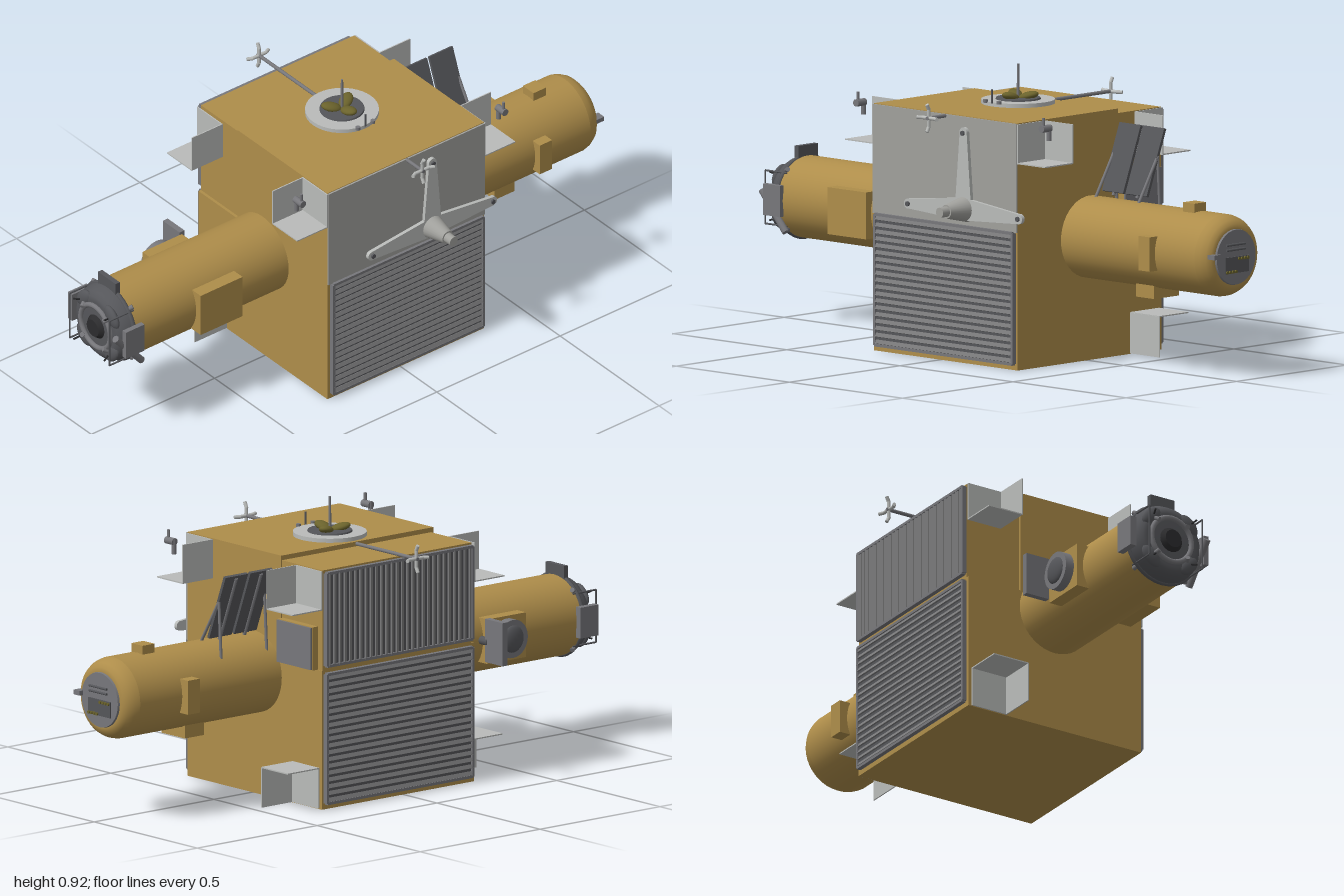
import * as THREE from 'three';

const mat = (name, color, side = THREE.FrontSide) => {
  const m = new THREE.MeshStandardMaterial({ color, side });
  m.name = name;
  return m;
};

export function createModel() {
  const root = new THREE.Group();
  root.name = 'spaceModule';
  const gold = mat('gold foil', 0xae8d4a);
  const light = mat('light grey', 0xb9bbb9, THREE.DoubleSide);
  const grey = mat('panel grey', 0xa0a09c);
  const slatGrey = mat('slat grey', 0x7b7b7c);
  const dark = mat('dark grey', 0x55565a);
  const mid = mat('mid grey', 0x77777b);
  const olive = mat('olive', 0x6b632c);
  const black = mat('black', 0x2c2c2e);

  const add = (name, geo, m, p, r = [0, 0, 0], parent = root) => {
    const mesh = new THREE.Mesh(geo, m);
    mesh.name = name;
    mesh.position.set(...p);
    mesh.rotation.set(...r);
    parent.add(mesh);
    return mesh;
  };
  // Box given by its limits on each axis
  const box = (name, m, [x0, x1], [y0, y1], [z0, z1]) =>
    add(name, new THREE.BoxGeometry(x1 - x0, y1 - y0, z1 - z0), m,
      [(x0 + x1) / 2, (y0 + y1) / 2, (z0 + z1) / 2]);
  const rod = (name, m, a, b, r0, r1 = r0, seg = 10) => {
    const A = new THREE.Vector3(...a), B = new THREE.Vector3(...b);
    const d = B.clone().sub(A);
    const mesh = add(name, new THREE.CylinderGeometry(r1, r0, d.length(), seg), m,
      A.clone().add(B).multiplyScalar(0.5).toArray());
    mesh.quaternion.setFromUnitVectors(new THREE.Vector3(0, 1, 0), d.normalize());
    return mesh;
  };

  // Main body: tall front block, slightly lower rear block
  box('body', gold, [-0.295, 0.34], [0, 0.79], [-0.14, 0.315]);
  box('rearBody', gold, [-0.295, 0.34], [0, 0.45], [-0.337, -0.14]);
  box('rearUpperBody', gold, [-0.285, 0.337], [0.45, 0.775], [-0.337, -0.14]);
  box('sideBox', gold, [0.337, 0.36], [0.45, 0.59], [-0.315, -0.145]);
  box('sideBoxFace', mid, [0.36, 0.366], [0.452, 0.588], [-0.313, -0.147]);

  // Front plate and louvred radiators
  box('frontPlate', grey, [-0.295, 0.34], [0.44, 0.788], [0.315, 0.321]);
  const louver = (name, y0, y1, z, dir, vertical) => {
    const g = new THREE.Group();
    g.name = name;
    root.add(g);
    const x0 = -0.28, x1 = 0.328, cx = (x0 + x1) / 2, cy = (y0 + y1) / 2;
    const w = x1 - x0, h = y1 - y0;
    add('backing', new THREE.BoxGeometry(w, h, 0.008), dark, [cx, cy, z + dir * 0.004], [0, 0, 0], g);
    const n = Math.round((vertical ? w : h) / 0.0215);
    for (let i = 0; i < n; i++) {
      const t = (i + 0.5) / n;
      if (vertical) add('slat', new THREE.BoxGeometry(0.013, h, 0.005), slatGrey,
        [x0 + w * t, cy, z + dir * 0.011], [0, 0.4, 0], g);
      else add('slat', new THREE.BoxGeometry(w, 0.013, 0.005), slatGrey,
        [cx, y0 + h * t, z + dir * 0.011], [-dir * 0.4, 0, 0], g);
    }
    for (const x of [x0, x1]) add('sideFrame', new THREE.BoxGeometry(0.009, h, 0.015), mid,
      [x, cy, z + dir * 0.008], [0, 0, 0], g);
    for (const y of [y0, y1]) add('crossFrame', new THREE.BoxGeometry(w, 0.009, 0.015), mid,
      [cx, y, z + dir * 0.008], [0, 0, 0], g);
  };
  louver('frontRadiator', 0.02, 0.438, 0.315, 1, false);
  louver('rearLowerRadiator', 0.02, 0.438, -0.337, -1, false);
  louver('rearUpperRadiator', 0.465, 0.765, -0.337, -1, true);

  // Corner reflectors: three square plates meeting at the inner corner
  const reflector = (x, y, z, s, sx, sy, sz) => {
    const c = [x + sx * s / 2, y + sy * s / 2, z + sz * s / 2], t = 0.004;
    add('reflectorSide', new THREE.BoxGeometry(t, s, s), light, [x + sx * t / 2, c[1], c[2]]);
    add('reflectorFloor', new THREE.BoxGeometry(s, t, s), light, [c[0], y, c[2]]);
    add('reflectorWall', new THREE.BoxGeometry(s, s, t), light, [c[0], c[1], z]);
  };
  for (const s of [1, -1]) {
    const x = s > 0 ? 0.34 : -0.295;
    reflector(x, 0.662, 0.193, 0.125, s, 1, 1);
    reflector(x, 0.648, -0.215, 0.125, s, 1, -1);
    reflector(x, 0.132, -0.195, 0.13, s, -1, -1);
    // Small sensor over each front reflector
    const a = s > 0 ? 0.435 : -0.385;
    rod('sensorMast', mid, [a, 0.74, 0.27], [a, 0.79, 0.27], 0.008);
    rod('sensorHead', mid, [a, 0.78, 0.265], [a, 0.78, 0.305], 0.012);
    rod('sensorTip', mid, [a, 0.78, 0.295], [a, 0.815, 0.295], 0.005);
  }

  // Main cylinders on both sides with rounded ends
  const cy = 0.395, cz = -0.012, R = 0.131;
  rod('rightTube', gold, [0.33, cy, cz], [0.93, cy, cz], R, R, 40);
  rod('leftTube', gold, [-0.29, cy, cz], [-0.92, cy, cz], R, R, 40);
  const capProfile = [[R, 0], [0.127, 0.018], [0.117, 0.036], [0.104, 0.047], [0.09, 0.05], [0, 0.05]]
    .map(p => new THREE.Vector2(...p));
  const cap = new THREE.LatheGeometry(capProfile, 40);
  add('rightCap', cap, gold, [0.93, cy, cz], [0, 0, -Math.PI / 2]);
  add('leftCap', cap, dark, [-0.92, cy, cz], [0, 0, Math.PI / 2]);

  // Instrument plate on the right end
  rod('endPlate', mid, [0.978, cy, cz], [0.987, cy, cz], 0.09, 0.088, 32);
  box('endPanel', dark, [0.987, 0.991], [0.345, 0.397], [-0.066, 0.04]);
  for (const y of [0.42, 0.436]) rod('endBar', dark, [0.99, y, -0.05], [0.99, y, 0.035], 0.004);
  for (let i = 0; i < 4; i++) {
    rod('connector', olive, [0.987, 0.39, -0.02 - i * 0.013], [0.996, 0.39, -0.02 - i * 0.013], 0.005);
    rod('connector', olive, [0.987, 0.35, 0.034 - i * 0.013], [0.996, 0.35, 0.034 - i * 0.013], 0.005);
  }
  box('endLatch', mid, [0.96, 1], [0.397, 0.412], [0.07, 0.1]);

  // Boxes strapped to the tubes
  box('leftFrontBox', gold, [-0.67, -0.5], [0.315, 0.465], [0.07, 0.142]);
  box('leftRearBox', gold, [-0.66, -0.5], [0.32, 0.465], [-0.165, -0.09]);
  box('rightFrontBox', gold, [0.705, 0.755], [0.34, 0.45], [0.08, 0.142]);
  box('rightRearBox', gold, [0.705, 0.755], [0.34, 0.45], [-0.17, -0.1]);
  box('topBox', gold, [0.78, 0.83], [0.51, 0.552], [-0.037, 0.017]);
  box('bottomBox', gold, [0.6, 0.68], [0.235, 0.29], [-0.068, 0.045]);

  // Rear port with dome and a disc beside it
  rod('portRing', mid, [-0.58, cy, -0.16], [-0.58, cy, -0.195], 0.062, 0.062, 28);
  const dome = add('portDome', new THREE.SphereGeometry(0.045, 20, 12), dark, [-0.58, cy, -0.192]);
  dome.scale.z = 0.35;
  box('portShield', mid, [-0.505, -0.485], [0.33, 0.47], [-0.255, -0.17]);
  rod('portArm', dark, [-0.495, cy, -0.12], [-0.495, cy, -0.18], 0.014);

  // Docking gear on the left end
  const ring = (name, r, t, x, m) => add(name, new THREE.TorusGeometry(r, t, 8, 32), m, [x, cy, cz], [0, Math.PI / 2, 0]);
  ring('dockCollar', 0.129, 0.008, -0.917, dark);
  ring('dockInnerRing', 0.075, 0.009, -0.972, mid);
  rod('dockHub', black, [-0.965, cy, cz], [-0.985, cy, cz], 0.045, 0.03, 20);
  for (let i = 0; i < 4; i++) {
    const a = Math.PI / 4 + i * Math.PI / 2, c = Math.cos(a), s = Math.sin(a);
    const at = (x, r) => [x, cy + c * r, cz + s * r];
    rod('dockStrut', mid, at(-0.9, 0.138), at(-0.985, 0.075), 0.008);
    const pad = add('dockPad', new THREE.SphereGeometry(1, 16, 10), dark, at(-0.962, 0.098), [a, 0, 0]);
    pad.scale.set(0.014, 0.026, 0.042);
    rod('dockProbe', black, at(-0.98, 0.1), at(-1, 0.11), 0.003);
  }
  for (const s of [1, -1]) {
    rod('dockGuard', dark, [-0.997, 0.31, cz + s * 0.1], [-0.997, 0.48, cz + s * 0.1], 0.003);
    for (const y of [0.31, 0.48]) rod('guardStay', dark, [-0.9, y, cz + s * 0.1], [-0.997, y, cz + s * 0.1], 0.003);
    box('dockFin', mid, [-0.965, -0.89], [0.345, 0.445], s > 0 ? [0.115, 0.132] : [-0.162, -0.14]);
  }
  box('dockTopFin', dark, [-0.925, -0.908], [0.49, 0.56], [-0.06, 0.03]);
  rod('dockDiagonal', mid, [-0.99, 0.42, 0.11], [-0.885, 0.295, 0.11], 0.012);

  // Tilted twin panel on struts
  const tilt = Math.atan2(-0.08, 0.21);
  for (const x of [0.412, 0.516]) {
    add('tiltedPanel', new THREE.BoxGeometry(0.094, 0.225, 0.01), dark, [x, 0.645, -0.085], [tilt, 0, 0]);
    rod('panelSpine', mid, [x, 0.53, -0.045], [x, 0.74, -0.126], 0.006);
  }
  for (const x of [0.37, 0.56]) {
    rod('panelStrut', mid, [x, 0.665, -0.094], [x, 0.51, 0.0], 0.005);
    rod('panelStrut', mid, [x, 0.665, -0.094], [x, 0.47, -0.105], 0.005);
  }

  // Three-armed antenna on the front plate
  const arm = new THREE.Shape();
  arm.moveTo(-0.036, 0);
  arm.lineTo(-0.015, 0.245);
  arm.absarc(0, 0.245, 0.016, Math.PI, 0, true);
  arm.lineTo(0.036, 0);
  const armGeo = new THREE.ExtrudeGeometry(arm, { depth: 0.012, bevelEnabled: false });
  const ax = 0.117, ay = 0.495;
  for (const r of [0, 1.6, -1.6]) {
    add('antennaArm', armGeo, light, [ax, ay, 0.322], [0, 0, r]);
    const tx = ax - Math.sin(r) * 0.243, ty = ay + Math.cos(r) * 0.243;
    rod('armTip', dark, [tx, ty, 0.33], [tx, ty, 0.34], 0.008);
  }
  rod('antennaCone', grey, [ax, ay, 0.32], [ax, ay, 0.41], 0.042, 0.022, 24);
  rod('antennaNose', grey, [ax, ay, 0.41], [ax, ay, 0.44], 0.017, 0.016, 20);

  // Roof hatch with lobes and mast
  const hx = 0.025, hz = -0.01;
  rod('hatchDisc', light, [hx, 0.788, hz], [hx, 0.803, hz], 0.117, 0.117, 40);
  rod('hatchBase', dark, [hx, 0.8, hz], [hx, 0.808, hz], 0.073, 0.07, 32);
  for (let i = 0; i < 3; i++) {
    const a = Math.PI / 2 + i * Math.PI * 2 / 3;
    const lobe = add('hatchLobe', new THREE.SphereGeometry(1, 16, 10), olive,
      [hx + Math.cos(a) * 0.034, 0.814, hz + Math.sin(a) * 0.034], [0, -a, 0.25]);
    lobe.scale.set(0.034, 0.013, 0.022);
  }
  rod('mast', mid, [hx, 0.8, hz], [hx, 0.915, hz], 0.005, 0.004);
  rod('whip', dark, [hx, 0.8, 0.108], [hx, 0.845, 0.108], 0.003);
  for (const s of [1, -1]) rod('hatchBolt', mid, [hx + s * 0.03, 0.8, 0.108], [hx + s * 0.03, 0.81, 0.108], 0.008);

  // Target booms at front and rear, each ending in a bent cross
  const boom = (z0, z1) => {
    const d = Math.sign(z1 - z0), y = 0.783;
    rod('boom', mid, [hx, y, z0], [hx, y, z1], 0.006);
    for (let i = 0; i < 4; i++) {
      const a = i * Math.PI / 2, c = Math.cos(a), s = Math.sin(a);
      const p = r => [hx + c * r, y + s * r];
      rod('boomArm', light, [...p(0), z1 - d * 0.008], [...p(0.028), z1 - d * 0.008], 0.006);
      rod('boomTip', light, [...p(0.026), z1 - d * 0.009], [...p(0.044), z1], 0.006);
    }
  };
  boom(-0.14, -0.437);
  boom(0.31, 0.403);

  return root;
}
